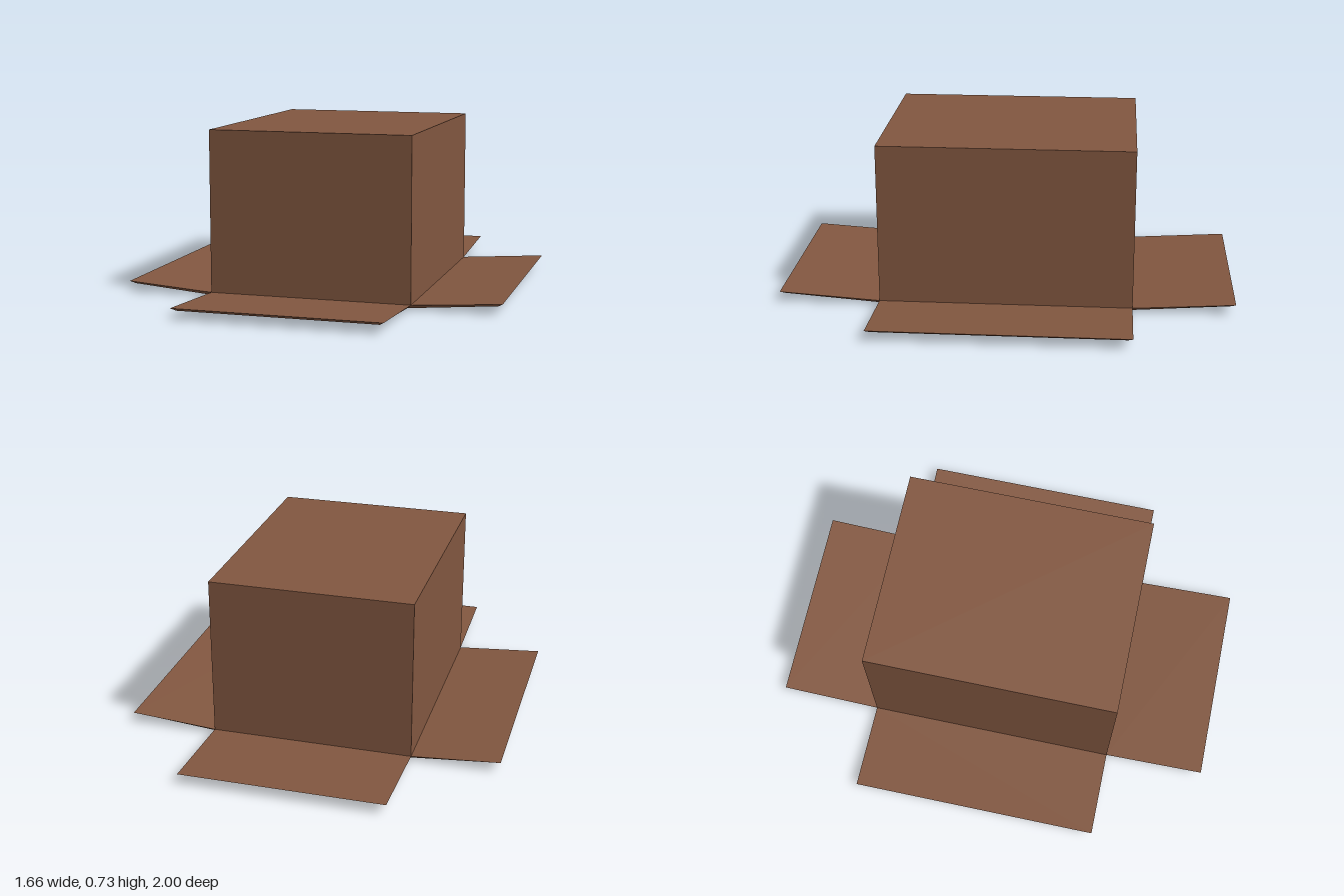
import * as THREE from 'three';

const cardboard = new THREE.MeshStandardMaterial({ color: 0x825740 });
cardboard.name = 'brown cardboard';

const HALF_X = 0.445, HALF_Z = 0.555;   // outer half sizes of the box
const REACH_X = 0.83, REACH_Z = 1.0;    // how far the flaps spread
const TOP = 0.727, CEILING = 0.667;     // outer and inner top
const HINGE = 0.018, TIP = 0.046, TIP_LOW = 0.033;
const T = 0.02;                         // board thickness

// Flat-faced mesh from quads, corners counter-clockwise seen from the front
function quadMesh(name, quads) {
  const pos = [];
  for (const [a, b, c, d] of quads) pos.push(...a, ...b, ...c, ...a, ...c, ...d);
  const geo = new THREE.BufferGeometry();
  geo.setAttribute('position', new THREE.Float32BufferAttribute(pos, 3));
  geo.computeVertexNormals();
  const mesh = new THREE.Mesh(geo, cardboard);
  mesh.name = name;
  return mesh;
}

// One wall facing +z with its folded-out flap: w half width, d distance, r flap reach
function makeSide(name, w, d, r) {
  const wi = w - T, di = d - T, ri = r - T;
  const side = new THREE.Group();
  side.name = name;
  side.add(quadMesh('wall', [
    [[-w, HINGE, d], [w, HINGE, d], [w, TOP, d], [-w, TOP, d]],
    [[wi, 0, di], [-wi, 0, di], [-wi, CEILING, di], [wi, CEILING, di]],
  ]));
  // flap with edges bevelled in towards its underside
  side.add(quadMesh('flap', [
    [[-w, HINGE, d], [-w, TIP, r], [w, TIP, r], [w, HINGE, d]],
    [[wi, 0, di], [wi, TIP_LOW, ri], [-wi, TIP_LOW, ri], [-wi, 0, di]],
    [[-wi, TIP_LOW, ri], [wi, TIP_LOW, ri], [w, TIP, r], [-w, TIP, r]],
    [[wi, TIP_LOW, ri], [wi, 0, di], [w, HINGE, d], [w, TIP, r]],
    [[-wi, 0, di], [-wi, TIP_LOW, ri], [-w, TIP, r], [-w, HINGE, d]],
  ]));
  return side;
}

export function createModel() {
  const box = new THREE.Group();
  box.name = 'upturnedOpenBox';

  // four walls, each with a flap
  ['frontSide', 'leftSide', 'backSide', 'rightSide'].forEach((name, i) => {
    const side = i % 2 === 0
      ? makeSide(name, HALF_X, HALF_Z, REACH_Z)
      : makeSide(name, HALF_Z, HALF_X, REACH_X);
    side.rotation.y = i * Math.PI / 2;
    box.add(side);
  });

  // closed top panel and the ceiling inside
  const x = HALF_X, z = HALF_Z, xi = x - T, zi = z - T;
  box.add(quadMesh('topPanel', [
    [[-x, TOP, -z], [-x, TOP, z], [x, TOP, z], [x, TOP, -z]],
    [[xi, CEILING, -zi], [xi, CEILING, zi], [-xi, CEILING, zi], [-xi, CEILING, -zi]],
  ]));
  return box;
}
